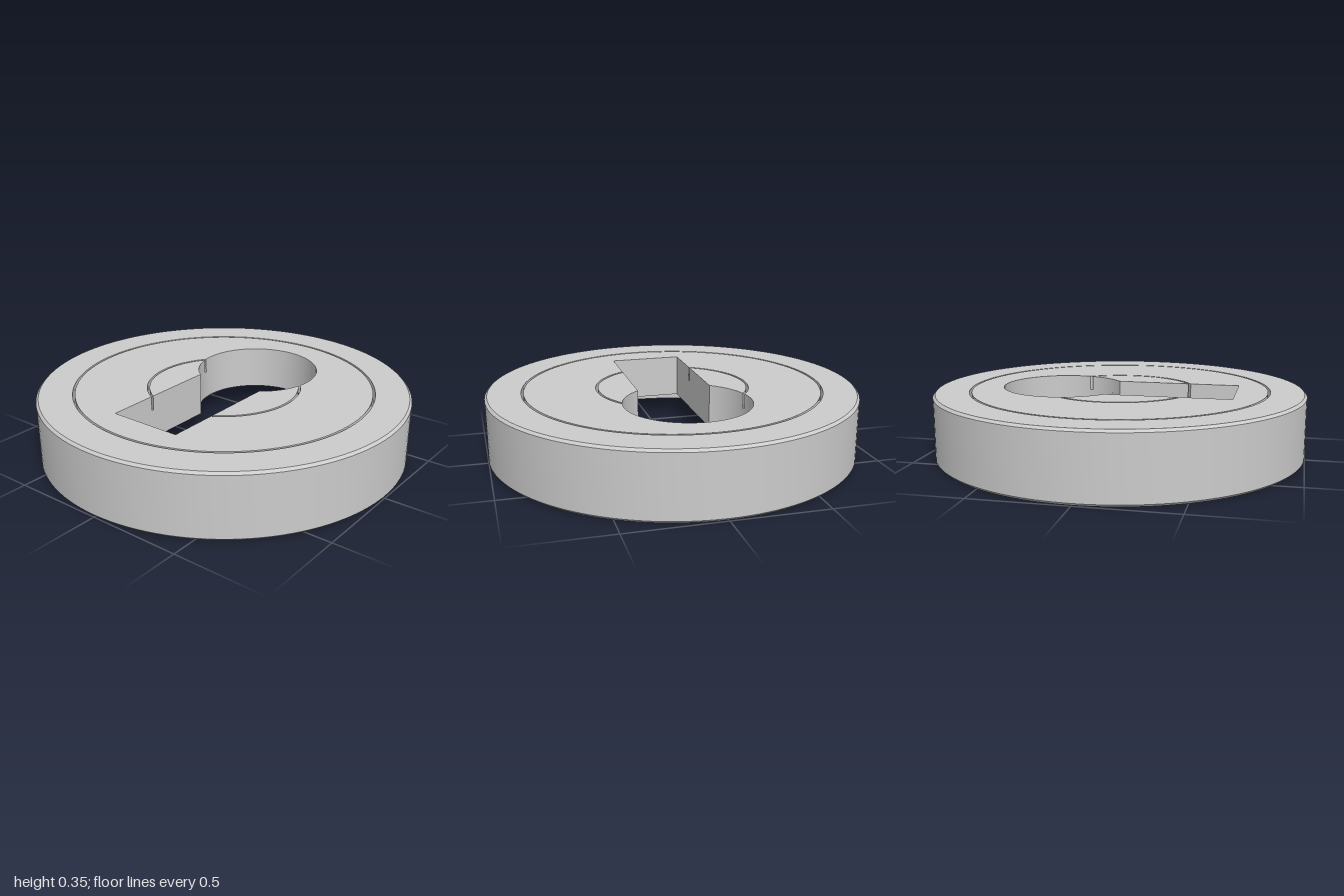
import * as THREE from 'three';
import { toCreasedNormals } from 'three/addons/utils/BufferGeometryUtils.js';

const HEIGHT = 0.35, RECESS = 0.11, GROOVE = 0.27; // top, underside recess and groove floor levels
const KEY_Y = 0.312, KEY_R = 0.334, SLOT_X = 0.2, SLOT_Y = -0.63; // keyhole (plan y = -z)

const material = new THREE.MeshStandardMaterial({ color: 0xcccccc });

function part(name, geometry) {
  const mesh = new THREE.Mesh(toCreasedNormals(geometry, 0.5), material);
  mesh.name = name;
  return mesh;
}

// Extrude a plan shape upward between two heights
function slab(name, shape, y0, y1) {
  const g = new THREE.ExtrudeGeometry(shape, { depth: y1 - y0, bevelEnabled: false, curveSegments: 48 });
  return part(name, g.rotateX(-Math.PI / 2).translate(0, y0, 0));
}

// Angles where a centred circle of radius r meets the slot and the round of the keyhole
function crossings(r) {
  const y = (r * r + KEY_Y * KEY_Y - KEY_R * KEY_R) / (2 * KEY_Y);
  const x = Math.sqrt(r * r - y * y);
  return {
    slot: -Math.acos(SLOT_X / r),
    round: Math.atan2(y, x),
    key: Math.atan2(y - KEY_Y, x),
  };
}

const neck = -Math.acos(SLOT_X / KEY_R); // where the slot joins the round, seen from its centre

function disc(r) {
  return new THREE.Shape().absarc(0, 0, r, 0, Math.PI * 2, false);
}

function keyhole() {
  const p = new THREE.Path();
  p.moveTo(-SLOT_X, SLOT_Y);
  p.lineTo(SLOT_X, SLOT_Y);
  p.absarc(0, KEY_Y, KEY_R, neck, Math.PI - neck, false);
  p.closePath();
  return p;
}

// Keyhole merged with a centred circle
function keyholeWithCircle(r) {
  const c = crossings(r);
  const p = new THREE.Path();
  p.moveTo(-SLOT_X, SLOT_Y);
  p.lineTo(SLOT_X, SLOT_Y);
  p.absarc(0, 0, r, c.slot, c.round, false);
  p.absarc(0, KEY_Y, KEY_R, c.key, Math.PI - c.key, false);
  p.absarc(0, 0, r, Math.PI - c.round, Math.PI - c.slot, false);
  p.closePath();
  return p;
}

// Part of the centre disc on one side of the keyhole
function centreSegment(r, side) {
  const c = crossings(r);
  const a = (t) => (side > 0 ? t : Math.PI - t);
  const s = new THREE.Shape();
  s.absarc(0, 0, r, a(c.slot), a(c.round), side < 0);
  s.absarc(0, KEY_Y, KEY_R, a(c.key), a(neck), side > 0);
  s.closePath();
  return s;
}

export function createModel() {
  const group = new THREE.Group();
  group.name = 'keyholeEscutcheon';

  // Chamfered outer rim, open below around the recess
  const profile = [
    [0.935, RECESS], [0.935, 0], [0.987, 0], [1, 0.013], [1, HEIGHT - 0.013],
    [0.987, HEIGHT], [0.81, HEIGHT], [0.81, GROOVE],
  ].map(([r, y]) => new THREE.Vector2(r, y));
  group.add(part('outerRim', new THREE.LatheGeometry(profile, 128)));

  // Base plate: recess ceiling and groove floors
  const base = disc(0.95);
  base.holes.push(keyhole());
  group.add(slab('basePlate', base, RECESS, GROOVE));

  // Face ring between the two grooves
  const ring = disc(0.798);
  ring.holes.push(keyholeWithCircle(0.414));
  group.add(slab('faceRing', ring, GROOVE, HEIGHT));

  // Centre disc, split in two by the keyhole
  for (const side of [1, -1]) {
    group.add(slab(side > 0 ? 'leftCentreSegment' : 'rightCentreSegment',
      centreSegment(0.402, side), GROOVE, HEIGHT));
  }
  return group;
}
